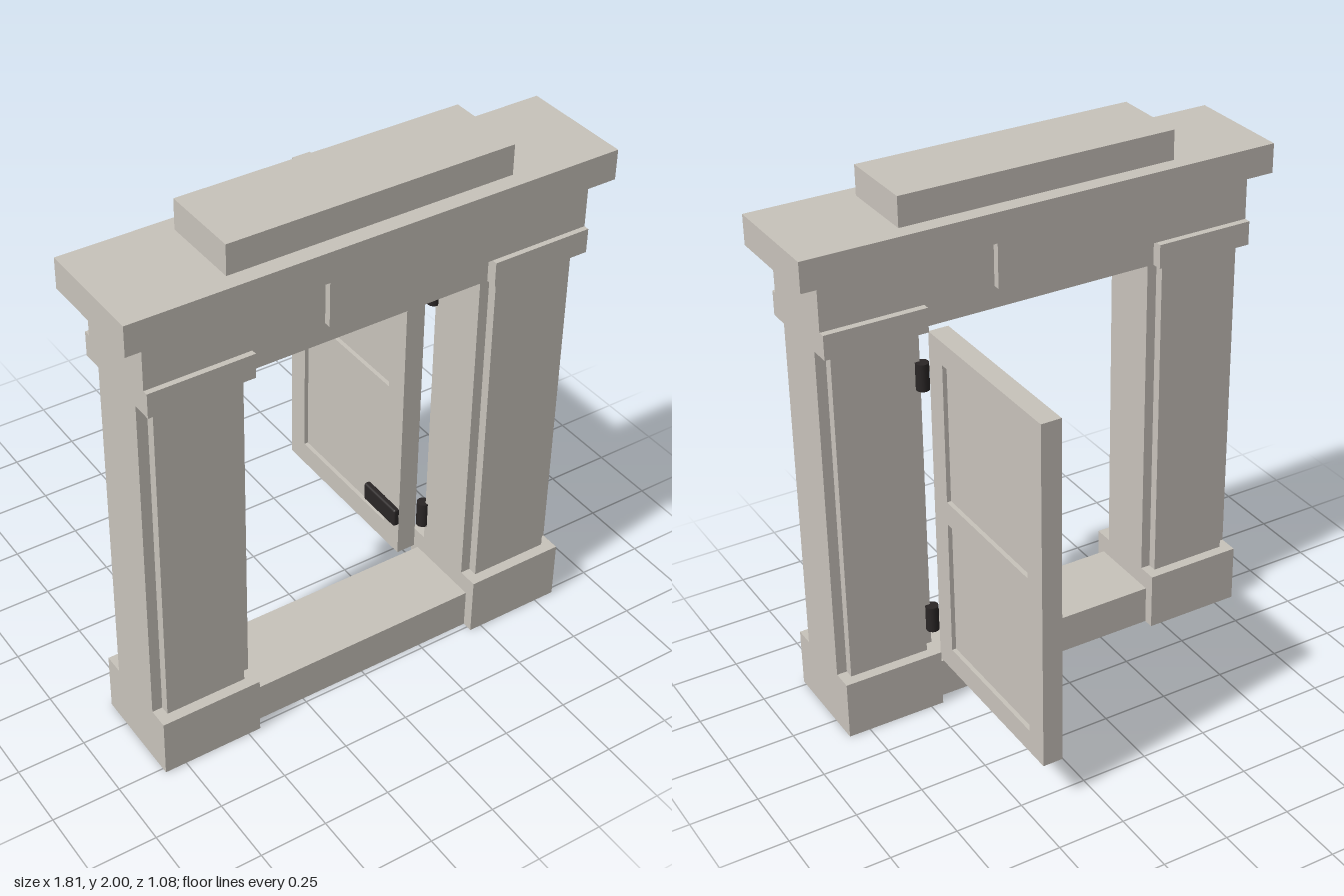
import * as THREE from 'three';
import { RoundedBoxGeometry } from 'three/addons/geometries/RoundedBoxGeometry.js';

export function createModel() {
  const model = new THREE.Group();
  model.name = 'doorway';

  const stone = new THREE.MeshStandardMaterial({ color: 0xc8c3bb });
  stone.name = 'stone';
  const iron = new THREE.MeshStandardMaterial({ color: 0x2a2626 });
  iron.name = 'iron';

  const add = (name, geometry, material, parent = model) => {
    const mesh = new THREE.Mesh(geometry, material);
    mesh.name = name;
    parent.add(mesh);
    return mesh;
  };

  // Box given by its extents on each axis
  const block = (name, [x0, x1], [y0, y1], [z0, z1], parent = model) => {
    const mesh = add(name, new THREE.BoxGeometry(x1 - x0, y1 - y0, z1 - z0), stone, parent);
    mesh.position.set((x0 + x1) / 2, (y0 + y1) / 2, (z0 + z1) / 2);
    return mesh;
  };

  // Two piers: plinth, shaft with raised pilaster faces, capital
  const inner = 0.453, outer = 0.83;
  for (const side of [-1, 1]) {
    const pier = new THREE.Group();
    pier.name = side > 0 ? 'leftPier' : 'rightPier';
    model.add(pier);
    const span = (a, b) => (side > 0 ? [a, b] : [-b, -a]);
    block('plinth', span(inner, outer), [0, 0.225], [0.14, 0.52], pier);
    block('shaft', span(inner, outer), [0.225, 1.515], [0.215, 0.445], pier);
    block('pilaster', span(0.49, 0.792), [0.225, 1.515], [0.18, 0.48], pier);
    block('capital', span(inner, outer), [1.515, 1.605], [0.14, 0.52], pier);
  }

  // Sill and the stacked head of the doorway
  block('sill', [-inner, inner], [0, 0.152], [0.18, 0.48]);
  block('header', [-inner, inner], [1.515, 1.605], [0.18, 0.48]);
  block('lintel', [-outer, outer], [1.605, 1.78], [0.165, 0.5]);
  block('keystone', [-0.19, 0.19], [1.605, 1.78], [0.138, 0.525]);
  block('cornice', [-0.905, 0.905], [1.78, 1.89], [0.12, 0.54]);
  block('capStone', [-0.527, 0.527], [1.89, 2], [0.18, 0.48]);

  // Open door: frame cut with two openings, drawn in (-z, y), extruded along x
  const door = new THREE.Group();
  door.name = 'door';
  model.add(door);
  const rect = (Type, u0, u1, v0, v1) =>
    new Type([[u0, v0], [u1, v0], [u1, v1], [u0, v1]].map(([u, v]) => new THREE.Vector2(u, v)));
  const thickness = 0.075;
  const outline = rect(THREE.Shape, -0.18, 0.54, 0.17, 1.497);
  const panels = [[0.26, 0.79], [0.88, 1.41]];
  for (const [y0, y1] of panels) {
    outline.holes.push(rect(THREE.Path, -0.09, 0.45, y0, y1));
    block('doorPanel', [0.376, 0.419], [y0, y1], [-0.45, 0.09], door);
  }
  const frame = add('doorFrame',
    new THREE.ExtrudeGeometry(outline, { depth: thickness, bevelEnabled: false }), stone, door);
  frame.rotation.y = Math.PI / 2;
  frame.position.x = 0.36;

  // Hinges: strap on the door face and knuckle at the jamb
  for (const y of [0.34, 1.323]) {
    const strap = add('hingeStrap', new RoundedBoxGeometry(0.026, 0.075, 0.195, 2, 0.008), iron, door);
    strap.position.set(0.351, y, 0.083);
    const knuckle = add('hingeKnuckle', new THREE.CylinderGeometry(0.024, 0.024, 0.102, 16), iron, door);
    knuckle.position.set(0.45, y, 0.205);
  }

  return model;
}
